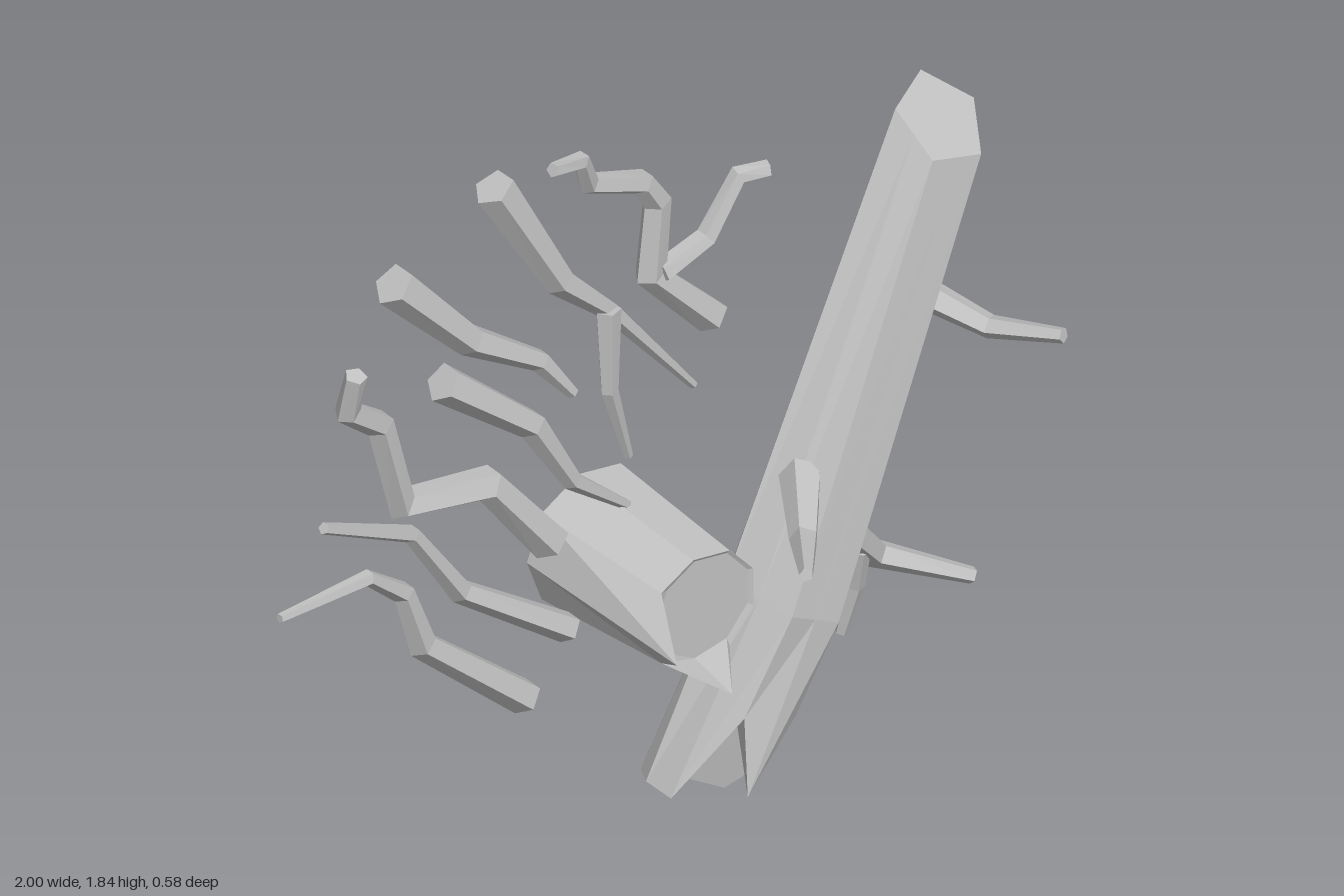
import * as THREE from 'three';

const V = (x, y, z) => new THREE.Vector3(x, y, z);
const mean = (ring) => ring.reduce((s, p) => s.add(p), V(0, 0, 0)).divideScalar(ring.length);
const ringOf = (n, point) => Array.from({ length: n }, (_, i) => point((i / n) * Math.PI * 2, i));

// Skin of equal-sized rings, closed at both ends by fans to a centre point
function loft(rings, startCentre = mean(rings[0]), endCentre = mean(rings[rings.length - 1])) {
  const pts = [];
  const last = rings[rings.length - 1];
  const n = last.length;
  for (let j = 0; j < n; j++) {
    const k = (j + 1) % n;
    pts.push(startCentre, rings[0][k], rings[0][j]);
    for (let i = 0; i + 1 < rings.length; i++) {
      const a = rings[i], b = rings[i + 1];
      pts.push(a[j], a[k], b[k], a[j], b[k], b[j]);
    }
    pts.push(endCentre, last[j], last[k]);
  }
  const g = new THREE.BufferGeometry().setFromPoints(pts);
  g.computeVertexNormals();
  return g;
}

// Crooked five-sided stick through points, its radius running from r0 to r1
function stick(p, r0, r1, ref = V(0, 0, 1)) {
  const rings = p.map((c, i) => {
    const dIn = i > 0 ? c.clone().sub(p[i - 1]).normalize() : V(0, 0, 0);
    const dOut = i + 1 < p.length ? p[i + 1].clone().sub(c).normalize() : V(0, 0, 0);
    const t = dIn.add(dOut).normalize();
    const s = t.clone().cross(ref).normalize();
    const n = t.clone().cross(s);
    const r = THREE.MathUtils.lerp(r0, r1, i / (p.length - 1));
    return ringOf(5, (a) => c.clone().addScaledVector(s, Math.cos(a) * r).addScaledVector(n, Math.sin(a) * r));
  });
  return loft(rings);
}

export function createModel() {
  const group = new THREE.Group();
  const wood = new THREE.MeshStandardMaterial({ color: 0xc2c2c2, flatShading: true, side: THREE.DoubleSide });
  wood.name = 'greyWood';
  const add = (name, geometry) => {
    const m = new THREE.Mesh(geometry, wood);
    m.name = name;
    group.add(m);
  };

  // Leaning five-sided log with a slanted top and a splintered hollow foot
  const axis = V(0.463, 0.886, 0), across = V(0.886, -0.463, 0);
  const section = (centre, ru, rz, along) => ringOf(10, (a, i) => {
    const p = centre.clone().addScaledVector(across, Math.sin(a) * ru).addScaledVector(axis, along(a, i));
    p.z -= Math.cos(a) * rz;
    return p;
  });
  const top = section(V(0.88, 1.47, -0.15), 0.117, 0.107, (a) => 0.07 * Math.cos(a - 0.35));
  const middle = section(V(0.36, 0.49, -0.067), 0.124, 0.16, () => 0);
  for (const ring of [top, middle]) {
    for (let i = 1; i < 10; i += 2) ring[i].lerpVectors(ring[i - 1], ring[(i + 1) % 10], 0.5);
  }
  const splinters = [-0.05, -0.06, -0.045, 0.06, 0.2, 0.01, 0.18, -0.05, -0.05, -0.05];
  const foot = section(V(0.165, 0.1, -0.075), 0.128, 0.14, (a, i) => splinters[i]);
  add('log', loft([top, middle, foot], undefined, V(0.25, 0.28, -0.09)));

  // Short stump lying along z, with a flat face and two splinters on the front rim
  const face = ringOf(9, (a) => V(0.045 - Math.cos(a) * 0.132, 0.66 + Math.sin(a) * 0.128, 0.065));
  const rim = ringOf(9, (a, i) => V(0.04 - Math.cos(a) * 0.15, 0.655 + Math.sin(a) * 0.142, i % 7 ? 0.07 : 0.205));
  rim[0].x -= 0.03;
  const rear = ringOf(9, (a) => V(0.015 - Math.cos(a) * 0.174, 0.673 + Math.sin(a) * 0.174, -0.29));
  add('stump', loft([face, rim, rear]));

  // Branches growing out of the log
  const up = V(0, 1, 0);
  add('logBranchFront', stick([V(0.42, 0.78, -0.06), V(0.29, 0.755, 0.11), V(0.16, 0.805, 0.28)], 0.05, 0.016, up));
  add('logBranchUpper', stick([V(0.79, 1.08, -0.1), V(0.87, 1.025, 0.03), V(0.94, 1.06, 0.2)], 0.038, 0.018, up));
  add('logBranchLower', stick([V(0.5, 0.64, -0.09), V(0.69, 0.42, -0.14), V(0.885, 0.33, -0.045)], 0.047, 0.02));
  add('logBranchTwig', stick([V(0.63, 0.47, -0.12), V(0.635, 0.36, -0.14), V(0.62, 0.23, -0.17)], 0.026, 0.016));

  // Loose sticks from x, y pairs: ends at depth z, bowed backwards between them
  const loose = (name, r0, r1, z0, z1, bow, xy) => {
    const steps = xy.length / 2 - 1;
    const points = Array.from({ length: steps + 1 }, (_, i) => {
      const f = i / steps;
      return V(xy[2 * i], xy[2 * i + 1], THREE.MathUtils.lerp(z0, z1, f) - bow * Math.sin(f * Math.PI));
    });
    add(name, stick(points, r0, r1));
  };
  loose('lowestStick', 0.011, 0.042, -0.1, -0.14, 0.02, [-1, 0.98, -0.735, 0.963, -0.625, 0.87, -0.57, 0.71, -0.285, 0.455]);
  loose('lowStick', 0.014, 0.036, -0.11, -0.14, 0.04, [-0.87, 1.155, -0.59, 1, -0.445, 0.785, -0.165, 0.585]);
  loose('zigzagStick', 0.026, 0.046, -0.11, -0.14, 0.04,
    [-0.78, 1.515, -0.78, 1.405, -0.675, 1.32, -0.61, 1.08, -0.375, 1.04, -0.215, 0.83]);
  loose('middleStick', 0.046, 0.012, -0.17, -0.16, -0.02, [-0.49, 1.345, -0.26, 1.15, -0.15, 0.96, 0.015, 0.82]);
  loose('shortStick', 0.05, 0.014, -0.18, -0.13, 0, [-0.62, 1.65, -0.42, 1.43, -0.24, 1.31, -0.16, 1.2]);
  loose('forkedStick', 0.048, 0.01, -0.175, -0.16, -0.02, [-0.345, 1.79, -0.18, 1.49, -0.045, 1.36, 0.2, 1.055]);
  loose('forkedStickTwig', 0.03, 0.011, -0.14, -0.15, -0.01, [-0.055, 1.37, -0.055, 1.16, 0.01, 0.955]);
  loose('upperStick', 0.017, 0.042, -0.1, -0.16, 0.035,
    [-0.24, 1.83, -0.14, 1.8, -0.1, 1.71, 0.06, 1.64, 0.105, 1.57, 0.085, 1.39, 0.25, 1.215]);
  loose('upperStickTwig', 0.027, 0.02, -0.15, -0.13, 0.02, [0.1, 1.395, 0.235, 1.425, 0.32, 1.555, 0.385, 1.557]);

  return group;
}
